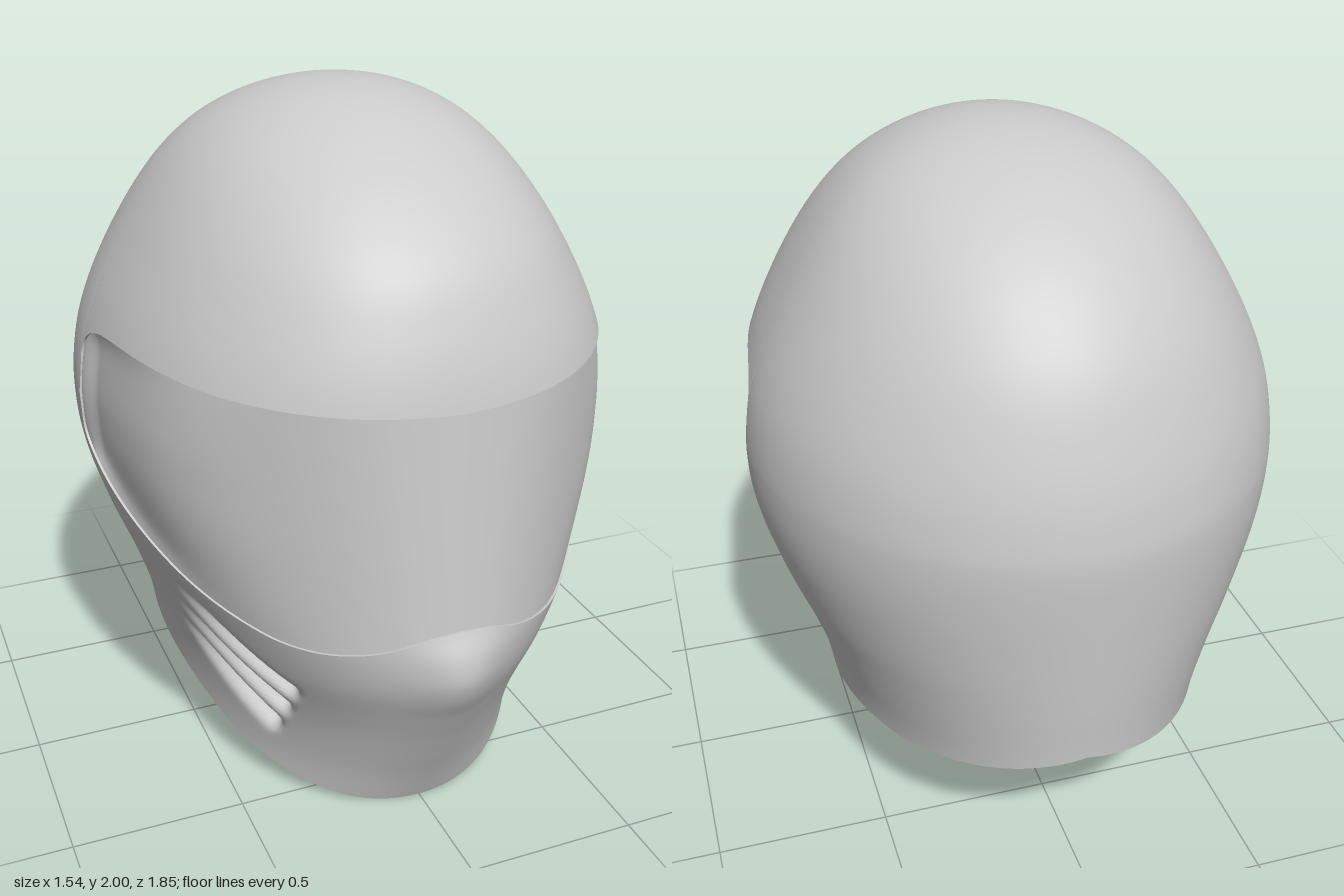
import * as THREE from 'three';
import { mergeVertices } from 'three/addons/utils/BufferGeometryUtils.js';

const { smoothstep, lerp } = THREE.MathUtils;

// Smooth curve through [position, value] pairs
function curve(pts) {
  const n = pts.length;
  const slope = pts.map((_, i) => {
    const a = pts[Math.max(i - 1, 0)], b = pts[Math.min(i + 1, n - 1)];
    return (b[1] - a[1]) / (b[0] - a[0]);
  });
  return (x) => {
    let i = 0;
    while (i < n - 2 && x > pts[i + 1][0]) i++;
    const [x0, y0] = pts[i], [x1, y1] = pts[i + 1];
    const h = x1 - x0, t = Math.min(Math.max((x - x0) / h, 0), 1), u = 1 - t;
    return y0 * (1 + 2 * t) * u * u + slope[i] * h * t * u * u
      + y1 * t * t * (3 - 2 * t) - slope[i + 1] * h * t * t * u;
  };
}

// Profiles by height; above MID they are multiplied by a quarter-circle falloff
const MID = 1.1, TOP = 2;
const frontZ = curve([[0, .65], [.1, .69], [.2, .733], [.3, .774], [.4, .816], [.5, .855], [.6, .872],
  [.7, .874], [.9, .868], [1.1, .858], [1.3, .867], [1.5, .882], [1.65, .9], [1.8, .882], [1.9, .85], [2, .83]]);
const backZ = curve([[0, .855], [.43, .88], [.6, .895], [.8, .91], [1, .923], [1.1, .925], [1.2, .918],
  [1.4, .912], [1.6, .926], [1.8, .928], [2, .9]]);
const halfWidth = curve([[0, .54], [.2, .548], [.3, .558], [.4, .575], [.5, .605], [.6, .64], [.7, .68],
  [.8, .715], [.9, .745], [1, .764], [1.1, .77], [1.2, .768], [1.3, .763], [1.4, .752], [1.5, .739],
  [1.6, .73], [1.7, .731], [1.8, .745], [1.9, .77], [2, .79]]);
const noseBump = curve([[0, 0], [.2, .013], [.4, .033], [.5, .049], [.56, .054], [.63, .041], [.7, .012], [.76, 0], [2, 0]]);

// Fullness of the cross-section: 2 is an ellipse, more is squarer
const frontFullness = curve([[0, 1.97], [.15, 1.88], [.3, 1.9], [.45, 2], [.7, 2.15], [1, 2.2], [1.5, 2.17], [2, 2]]);
const BACK_FULLNESS = 1.94;

// Edges by angle in degrees from the front
const rimY = curve([[0, 0], [14, .004], [27, .025], [44, .075], [57, .125], [71, .2], [83, .26], [97, .31],
  [113, .34], [130, .358], [155, .395], [180, .44]]);
const visorLow = curve([[0, .7], [8, .688], [18, .652], [28, .632], [36, .63], [43, .643], [58, .71], [72, .8], [85, .89], [90, .92]]);
const visorHigh = curve([[0, 1.305], [45, 1.33], [60, 1.343], [80, 1.36], [90, 1.36]]);

const VISOR_END = Math.PI / 2, VISOR_MID = 1.12;
const degrees = (a) => Math.abs(a) * 180 / Math.PI;

// Visor edge with a rounded rear end; both edges meet behind it
function visorEdge(a, edge) {
  const s = Math.min(Math.abs(a) / VISOR_END, 1);
  return VISOR_MID + (edge(degrees(a)) - VISOR_MID) * Math.pow(1 - Math.pow(s, 7), 1 / 7);
}

// Three slanted cheek grooves, steep in front and fading to the rear
function ventDepth(z, y) {
  let depth = 0;
  for (let i = 0; i < 3; i++) {
    const dz = z - (.605 - .06 * i), dy = y - (.41 - .09 * i);
    const along = -.76 * dz + .65 * dy, across = .65 * dz + .76 * dy;
    const fade = smoothstep(along, -.015, .025) * (1 - smoothstep(along, .1, .46));
    depth += .05 * Math.exp(-((across / .03) ** 2)) * fade;
  }
  return depth;
}

// Point on the helmet at an angle and height, moved inward by inset
function surface(a, y, inset = 0) {
  const q = Math.max(0, (y - MID) / (TOP - MID));
  const c = Math.sqrt(Math.max(0, 1 - q * q));
  const zc = -.1 * c, w = halfWidth(y) * c, sin = Math.sin(a), cos = Math.cos(a);
  const r = cos > 0 ? frontZ(y) * c - zc : backZ(y) * c + zc;
  const n = cos > 0 ? frontFullness(y) : BACK_FULLNESS;
  const k = Math.pow(Math.abs(sin) ** n + Math.abs(cos) ** n, -1 / n);
  let x = w * sin * k, z = zc + r * cos * k;
  if (cos > 0) {
    inset += ventDepth(z, y);
    z += noseBump(y) * Math.exp(-((x / .13) ** 2));
  }
  if (inset > 0) {
    const nx = sin * r, nz = cos * w, len = Math.hypot(nx, nz) || 1;
    x -= inset * nx / len;
    z -= inset * nz / len;
  }
  return [x, y, z];
}

// Grid of points per column, joined into faces; gapRow is left open
function gridMesh(name, columns, material, gapRow = -1) {
  const rows = columns[0].length, index = [];
  for (let i = 0; i < columns.length - 1; i++) {
    for (let j = 0; j < rows - 1; j++) {
      if (j === gapRow) continue;
      const a = i * rows + j, b = a + rows;
      index.push(a, b, b + 1, a, b + 1, a + 1);
    }
  }
  let g = new THREE.BufferGeometry();
  g.setAttribute('position', new THREE.Float32BufferAttribute(columns.flat(2), 3));
  g.setIndex(index);
  g = mergeVertices(g, 1e-5);
  g.computeVertexNormals();
  const mesh = new THREE.Mesh(g, material);
  mesh.name = name;
  return mesh;
}

const span = (n, f) => Array.from({ length: n + 1 }, (_, i) => f(i / n));

export function createModel() {
  const group = new THREE.Group();
  group.name = 'helmet';
  const material = new THREE.MeshStandardMaterial({ color: 0xcccccc, side: THREE.DoubleSide });

  // Column angles: closer together near the rear ends of the visor
  const visorAngles = span(220, (t) => VISOR_END * (.88 * Math.sin((t - .5) * Math.PI) + .12 * (2 * t - 1)));
  const rearAngles = span(100, (t) => VISOR_END + t * Math.PI);
  const allAngles = [...visorAngles, ...rearAngles.slice(1)];

  // Shell: rim to visor, open gap, visor to crown
  const LOW = 56, HIGH = 50;
  const shell = allAngles.map((angle) => {
    const a = angle > Math.PI ? angle - 2 * Math.PI : angle;
    const rim = rimY(degrees(a)), low = visorEdge(a, visorLow), high = visorEdge(a, visorHigh);
    const start = Math.asin((high - MID) / (TOP - MID));
    return [
      ...span(LOW, (t) => surface(a, rim + (low - rim) * t)),
      ...span(HIGH, (t) => surface(a, t === 0 ? high
        : MID + (TOP - MID) * Math.sin(start + (Math.PI / 2 - start) * t))),
    ];
  });
  group.add(gridMesh('shell', shell, material, LOW));

  // Visor: straight up and down in front, scooped in at the sides
  const STEP = .007;
  const visor = visorAngles.map((a) => {
    const d = degrees(a), low = visorEdge(a, visorLow), high = visorEdge(a, visorHigh);
    const scoop = .024 * smoothstep(d, 40, 80) * (1 - smoothstep(d, 84, 90));
    const straight = 1 - smoothstep(d, 25, 65);
    const bottom = surface(a, low, STEP), top = surface(a, high, STEP);
    return span(24, (t) => {
      const p = surface(a, lerp(low, high, t), STEP + scoop * (1 - (2 * t - 1) ** 6));
      return p.map((v, k) => lerp(v, lerp(bottom[k], top[k], t), straight));
    });
  });
  group.add(gridMesh('visor', visor, material));

  // Narrow lips joining the visor to the shell
  for (const [name, edge] of [['lowerVisorLip', visorLow], ['upperVisorLip', visorHigh]]) {
    const lip = visorAngles.map((a) => {
      const y = visorEdge(a, edge);
      const pair = [surface(a, y), surface(a, y, STEP)];
      return edge === visorLow ? pair : pair.reverse();
    });
    group.add(gridMesh(name, lip, material));
  }
  return group;
}
